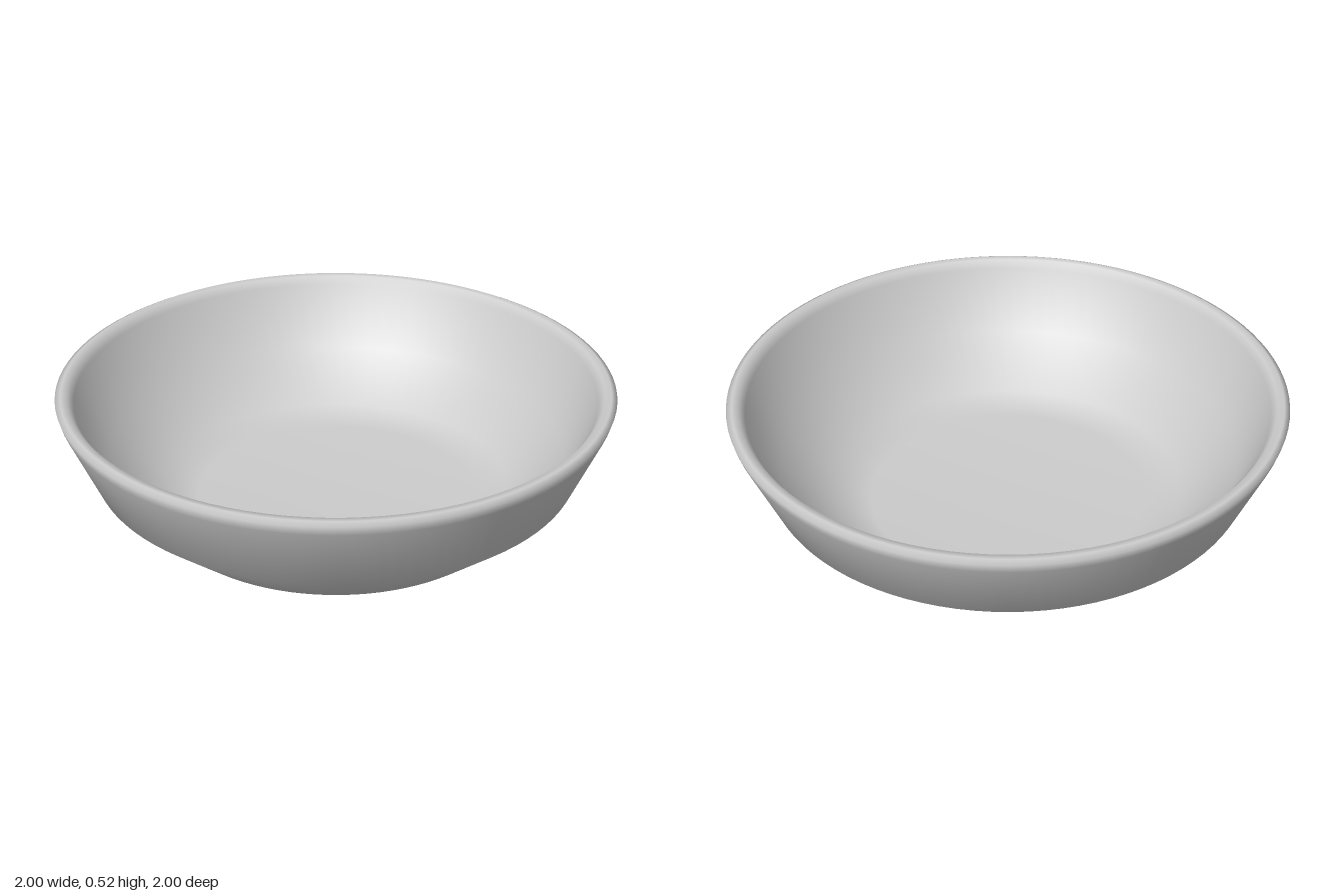
import * as THREE from 'three';

export function createModel() {
  const group = new THREE.Group();
  group.name = 'bowl';

  // Closed wall profile (radius, height): underside, outer wall, rim, inner wall, floor
  const profile = [
    [0, 0], [0.53, 0],
    [0.67, 0.04], [0.88, 0.22], [0.99, 0.475],
    [1, 0.51], [0.98, 0.52], [0.955, 0.518], [0.935, 0.49],
    [0.83, 0.25], [0.64, 0.09], [0.51, 0.055], [0, 0.055],
  ].map(([r, y]) => new THREE.Vector2(r, y));

  const body = new THREE.Mesh(
    new THREE.LatheGeometry(profile, 96),
    new THREE.MeshStandardMaterial({ color: 0xcccccc })
  );
  body.name = 'bowlBody';
  group.add(body);
  return group;
}
